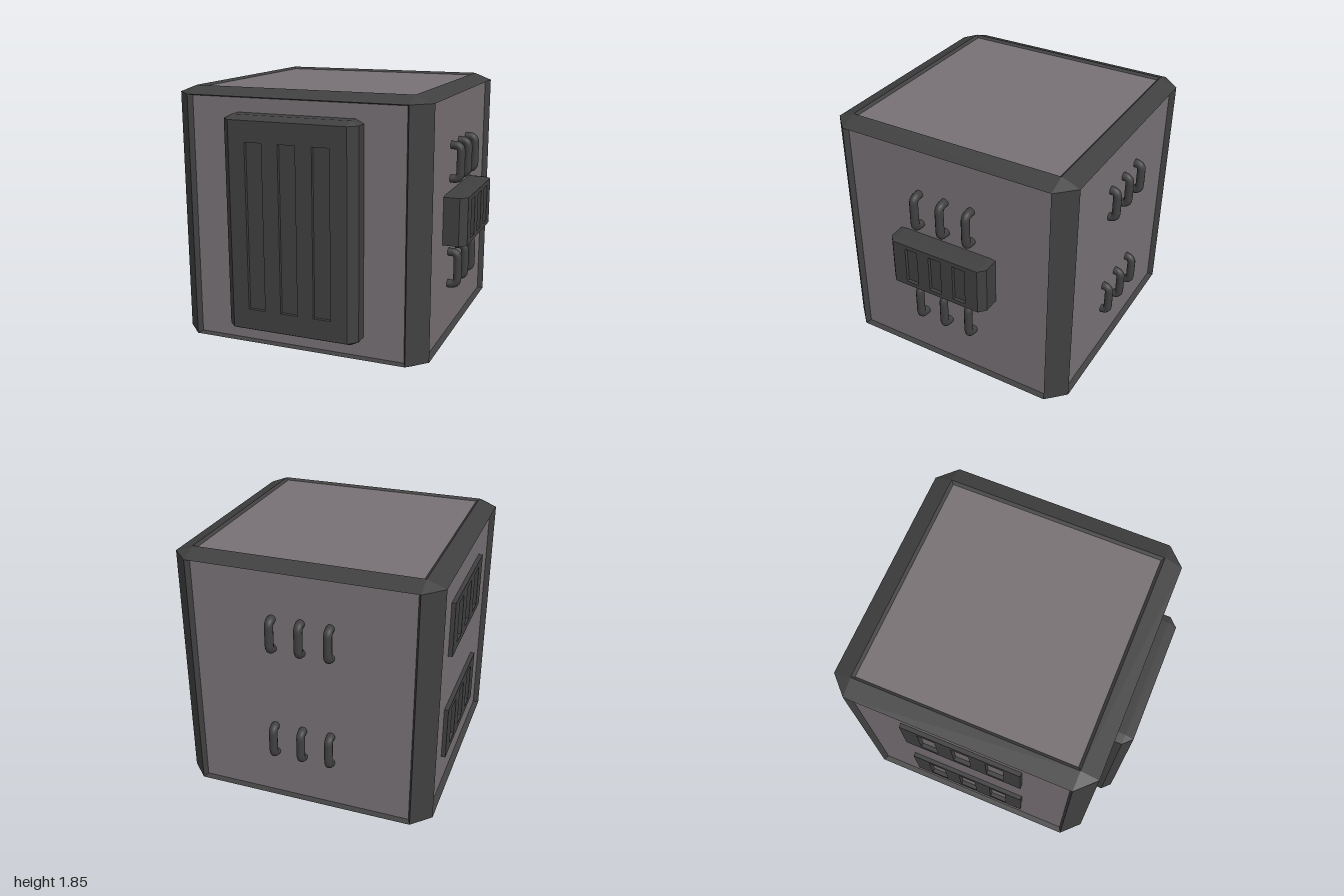
import * as THREE from 'three';

const dark = new THREE.MeshStandardMaterial({ color: 0x404040 });
const mauve = new THREE.MeshStandardMaterial({ color: 0x787175 });

const CX = -0.065, CY = 0.925, CZ = -0.035; // centre of the cube

function add(parent, name, geometry, material, x = 0, y = 0, z = 0) {
  const mesh = new THREE.Mesh(geometry, material);
  mesh.name = name;
  mesh.position.set(x, y, z);
  parent.add(mesh);
  return mesh;
}

// Chamfered box without its main faces; recess adds sloped walls inside each face opening
function chamferShell(half, inset, { recess = null, closed = [] } = {}) {
  const pos = [];
  const tri = (a, b, c, dir) => {
    const n = b.clone().sub(a).cross(c.clone().sub(a));
    const order = n.dot(dir) < 0 ? [a, c, b] : [a, b, c];
    order.forEach(p => pos.push(p.x, p.y, p.z));
  };
  const quad = (a, b, c, d, dir) => { tri(a, b, c, dir); tri(a, c, d, dir); };
  // Corner of the face on the given axis, optionally sunk to the recess floor
  const corner = (axis, signs, sunk = false) => new THREE.Vector3(...[0, 1, 2].map(i => {
    let v = half[i];
    if (i !== axis) v -= inset[i] + (sunk ? recess.border[i] : 0);
    else if (sunk) v -= recess.depth[i];
    return v * signs[i];
  }));
  const S = [-1, 1];

  for (let a = 0; a < 3; a++) {
    const b = (a + 1) % 3, c = (a + 2) % 3;
    const sg = (sa, sb, sc) => { const s = []; s[a] = sa; s[b] = sb; s[c] = sc; return s; };
    // Chamfers running along axis a
    for (const sb of S) for (const sc of S) {
      const lo = sg(-1, sb, sc), hi = sg(1, sb, sc);
      quad(corner(b, lo), corner(b, hi), corner(c, hi), corner(c, lo),
        new THREE.Vector3(...sg(0, sb, sc)));
    }
    // Recess walls and closed faces
    for (const sa of S) {
      const ring = [sg(sa, -1, -1), sg(sa, 1, -1), sg(sa, 1, 1), sg(sa, -1, 1)];
      const dir = new THREE.Vector3(...sg(sa, 0, 0));
      if (recess) ring.forEach((s, i) => {
        const t = ring[(i + 1) % 4];
        quad(corner(a, s), corner(a, t), corner(a, t, true), corner(a, s, true), dir);
      });
      if (closed.includes(a)) quad(...ring.map(s => corner(a, s)), dir);
    }
  }
  // Corner triangles
  for (const x of S) for (const y of S) for (const z of S) {
    const s = [x, y, z];
    tri(corner(0, s), corner(1, s), corner(2, s), new THREE.Vector3(...s));
  }
  const g = new THREE.BufferGeometry();
  g.setAttribute('position', new THREE.Float32BufferAttribute(pos, 3));
  g.computeVertexNormals();
  return g;
}

function rect(path, cx, w, h) {
  path.moveTo(cx - w / 2, -h / 2);
  path.lineTo(cx + w / 2, -h / 2);
  path.lineTo(cx + w / 2, h / 2);
  path.lineTo(cx - w / 2, h / 2);
  path.closePath();
  return path;
}

// Plate with three upright slots, front surface at z = 0
function slottedPlate(w, h, slotW, slotH, pitch, depth) {
  const shape = rect(new THREE.Shape(), 0, w, h);
  for (const i of [-1, 0, 1]) shape.holes.push(rect(new THREE.Path(), i * pitch, slotW, slotH));
  return new THREE.ExtrudeGeometry(shape, { depth, bevelEnabled: false }).translate(0, 0, -depth);
}

// Chamfered housing with a slotted front, facing +z with its front at z = 0
function slottedHousing(name, w, h, inset, slotW, slotH, pitch) {
  const group = new THREE.Group();
  group.name = name;
  const fw = w - 2 * inset[0], fh = h - 2 * inset[1];
  add(group, name + 'Shell', chamferShell([w / 2, h / 2, 0.13], inset, { closed: [0, 1] }), dark, 0, 0, -0.13);
  add(group, name + 'Face', slottedPlate(fw, fh, slotW, slotH, pitch, 0.025), dark);
  add(group, name + 'SlotFloor', new THREE.BoxGeometry(fw, fh, 0.02), dark, 0, 0, -0.035);
  return group;
}

// Three upright rounded handles, reaching out to z = 0
function handleRow(name, pitch, height, reach) {
  const group = new THREE.Group();
  group.name = name;
  const r = 0.03, h = height / 2 - r, bend = 0.045;
  const V = (y, z) => new THREE.Vector3(0, y, z);
  const path = new THREE.CurvePath();
  path.add(new THREE.LineCurve3(V(h, -reach), V(h, -r - bend)));
  path.add(new THREE.QuadraticBezierCurve3(V(h, -r - bend), V(h, -r), V(h - bend, -r)));
  path.add(new THREE.LineCurve3(V(h - bend, -r), V(bend - h, -r)));
  path.add(new THREE.QuadraticBezierCurve3(V(bend - h, -r), V(-h, -r), V(-h, -r - bend)));
  path.add(new THREE.LineCurve3(V(-h, -r - bend), V(-h, -reach)));
  const geometry = new THREE.TubeGeometry(path, 40, r, 12);
  for (const i of [-1, 0, 1]) add(group, 'handle', geometry, dark, i * pitch, 0, 0);
  return group;
}

export function createModel() {
  const model = new THREE.Group();
  model.name = 'crate';
  const place = (part, x, y, z, turn = 0) => {
    part.position.set(x, y, z);
    part.rotation.y = turn;
    model.add(part);
  };

  // Chamfered frame with shallow openings on all six sides
  add(model, 'frame', chamferShell([0.925, 0.925, 0.925], [0.13, 0.05, 0.13], {
    recess: { border: [0.02, 0.01, 0.02], depth: [0.04, 0.016, 0.04] },
  }), dark, CX, CY, CZ);

  // Each block shows as a pair of opposite panels
  const blocks = [
    ['sidePanels', 1.77, 1.73, 1.55],
    ['topAndBottomPanels', 1.55, 1.818, 1.55],
    ['frontAndBackPanels', 1.55, 1.73, 1.77],
  ];
  for (const [name, w, h, d] of blocks) add(model, name, new THREE.BoxGeometry(w, h, d), mauve, CX, CY, CZ);

  // Large slotted door on the front
  place(slottedHousing('frontDoor', 0.97, 1.52, [0.06, 0.03, 0.06], 0.125, 1.17, 0.243), CX, 0.93, 1.0);

  // Slotted box on the +x side, between two rows of handles
  place(slottedHousing('sideBox', 0.77, 0.36, [0.045, 0.007, 0.05], 0.097, 0.28, 0.192), 0.985, 0.93, CZ + 0.005, Math.PI / 2);
  for (const y of [0.54, 1.32]) place(handleRow('sideHandles', 0.205, 0.3, 0.14), 0.92, y, CZ + 0.01, Math.PI / 2);

  // Back handles and -x side grilles, two rows each
  for (const y of [0.515, 1.345]) {
    place(handleRow('backHandles', 0.205, 0.275, 0.12), CX, y, -1.0, Math.PI);
    const grille = new THREE.Group();
    grille.name = 'grille';
    add(grille, 'grillePlate', slottedPlate(0.88, 0.4, 0.13, 0.3, 0.25, 0.04), dark);
    place(grille, -0.98, y, CZ, -Math.PI / 2);
  }
  return model;
}
